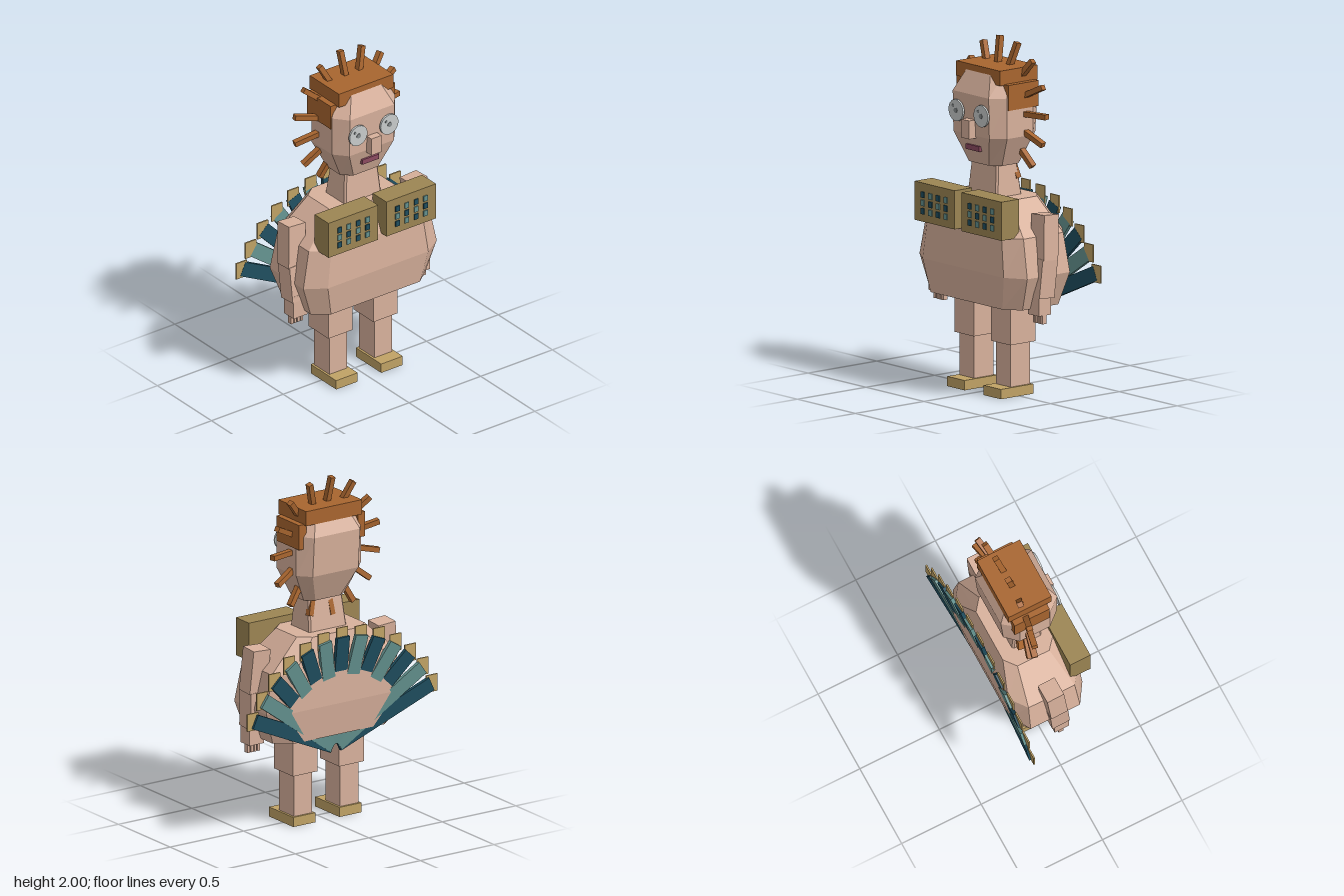
import * as THREE from 'three';

const mat = (name, color) => {
  const m = new THREE.MeshStandardMaterial({ color });
  m.name = name;
  return m;
};

export function createModel() {
  const skin = mat('skin', 0xd8b19c);
  const hair = mat('hair', 0xa8652f);
  const gold = mat('gold', 0xc0a265);
  const bronze = mat('bronze', 0x9c8553);
  const darkTeal = mat('darkTeal', 0x1f4e5f);
  const lightTeal = mat('lightTeal', 0x64928f);
  const silver = mat('silver', 0xc8cccb);
  const grey = mat('grey', 0x858a8c);
  const plum = mat('plum', 0x8c4a60);

  const model = new THREE.Group();
  const add = (name, geo, m) => {
    const mesh = new THREE.Mesh(geo, m);
    mesh.name = name;
    model.add(mesh);
    return mesh;
  };
  // Box given by its lower and upper limits on each axis
  const box = (name, m, x0, x1, y0, y1, z0, z1) => {
    const mesh = add(name, new THREE.BoxGeometry(x1 - x0, y1 - y0, z1 - z0), m);
    mesh.position.set((x0 + x1) / 2, (y0 + y1) / 2, (z0 + z1) / 2);
    return mesh;
  };
  // Box bar running from point a to point b
  const beam = (name, m, a, b, width, depth) => {
    const p = new THREE.Vector3(...a), q = new THREE.Vector3(...b);
    const y = q.clone().sub(p);
    const mesh = add(name, new THREE.BoxGeometry(width, y.length(), depth), m);
    y.normalize();
    const x = y.clone().cross(new THREE.Vector3(0, 0, 1)).normalize();
    const z = x.clone().cross(y);
    mesh.quaternion.setFromRotationMatrix(new THREE.Matrix4().makeBasis(x, y, z));
    mesh.position.copy(p.add(q).multiplyScalar(0.5));
    return mesh;
  };
  // Faceted solid through eight-sided rings: [y, halfWidth, cornerX, front, sideFront, sideBack, back]
  const loft = (name, m, rings) => {
    const loops = rings.map(([y, h, c, f, sf, sb, b]) =>
      [[c, y, f], [h, y, sf], [h, y, sb], [c, y, b], [-c, y, b], [-h, y, sb], [-h, y, sf], [-c, y, f]]);
    const pos = [];
    const tri = (...p) => p.forEach((v) => pos.push(...v));
    for (let r = 0; r < loops.length - 1; r++) {
      for (let i = 0; i < 8; i++) {
        const j = (i + 1) % 8, lo = loops[r], hi = loops[r + 1];
        tri(lo[i], lo[j], hi[j]);
        tri(lo[i], hi[j], hi[i]);
      }
    }
    const bottom = loops[0], top = loops[loops.length - 1];
    for (let i = 1; i < 7; i++) {
      tri(bottom[0], bottom[i + 1], bottom[i]);
      tri(top[0], top[i], top[i + 1]);
    }
    const geo = new THREE.BufferGeometry();
    geo.setAttribute('position', new THREE.Float32BufferAttribute(pos, 3));
    geo.computeVertexNormals();
    return add(name, geo, m);
  };

  // Torso, neck and head
  loft('torso', skin, [
    [0.53, 0.4, 0.31, 0.19, 0.12, -0.14, -0.21],
    [0.72, 0.465, 0.35, 0.215, 0.14, -0.17, -0.235],
    [0.94, 0.42, 0.32, 0.205, 0.13, -0.16, -0.235],
    [1.12, 0.23, 0.16, 0.13, 0.07, -0.13, -0.185],
  ]);
  loft('neck', skin, [
    [1.1, 0.13, 0.12, 0.08, 0.07, -0.1, -0.11],
    [1.34, 0.11, 0.1, 0.06, 0.05, -0.07, -0.08],
  ]);
  loft('head', skin, [
    [1.3, 0.14, 0.085, 0.1, 0.05, -0.07, -0.105],
    [1.47, 0.22, 0.155, 0.155, 0.08, -0.11, -0.18],
    [1.7, 0.22, 0.155, 0.16, 0.08, -0.11, -0.195],
    [1.83, 0.16, 0.1, 0.1, 0.05, -0.08, -0.13],
  ]);

  // Face
  box('nose', skin, -0.035, 0.035, 1.455, 1.56, 0.12, 0.2);
  box('mouth', plum, -0.058, 0.058, 1.38, 1.41, 0.1, 0.147);
  for (const s of [-1, 1]) {
    const disc = (name, r, depth, m, x, y, z) => {
      const d = add(name, new THREE.CylinderGeometry(r, r, depth, 20), m);
      d.rotation.x = Math.PI / 2;
      d.position.set(x, y, z);
    };
    disc('eye', 0.062, 0.012, silver, s * 0.108, 1.595, 0.172);
    disc('pupil', 0.014, 0.004, grey, s * 0.108, 1.595, 0.179);
    disc('eyeDot', 0.008, 0.004, grey, s * 0.108 - 0.025, 1.62, 0.179);
  }

  // Hair cap, side hair and radiating spikes
  box('hairCap', hair, -0.19, 0.19, 1.77, 1.855, -0.165, 0.105);
  for (const s of [-1, 1]) {
    const side = box('sideHair', hair, -0.025, 0.025, 1.63, 1.775, -0.145, 0.075);
    side.position.x = s * 0.2;
  }
  for (let i = 0; i < 15; i++) {
    const a = (i * Math.PI * 2) / 15;
    const c = Math.cos(a), s = Math.sin(a);
    beam('hairSpike', hair, [0.2 * c, 1.595 + 0.22 * s, -0.052],
      [0.365 * c, 1.595 + 0.405 * s, -0.087], 0.03, 0.034);
  }

  // Chest boxes with button grids
  for (const s of [-1, 1]) {
    const chest = box('chestBox', bronze, -0.173, 0.173, 0.94, 1.16, 0.125, 0.253);
    chest.position.x = s * 0.202;
    for (let i = 0; i < 4; i++) {
      for (let j = 0; j < 3; j++) {
        const x = s * 0.202 - 0.098 + i * 0.065, y = 1.0 + j * 0.047;
        box('button', (i + j) % 2 ? lightTeal : darkTeal,
          x - 0.014, x + 0.014, y - 0.017, y + 0.017, 0.25, 0.259);
      }
    }
  }

  // Arms, hands and fingers
  for (const s of [-1, 1]) {
    beam('upperArm', skin, [s * 0.425, 1.065, -0.022], [s * 0.44, 0.81, -0.005], 0.115, 0.105);
    beam('forearm', skin, [s * 0.44, 0.82, -0.005], [s * 0.43, 0.6, 0.012], 0.105, 0.11);
    box('hand', skin, s * 0.428 - 0.048, s * 0.428 + 0.048, 0.5, 0.64, -0.025, 0.065);
    for (let i = 0; i < 4; i++) {
      const x = s * 0.428 - 0.034 + i * 0.0227;
      box('finger', skin, x - 0.008, x + 0.008, 0.45, 0.51, 0.003, 0.033);
    }
  }

  // Legs and feet
  for (const s of [-1, 1]) {
    const x = s * 0.157;
    box('thigh', skin, x - 0.084, x + 0.084, 0.3, 0.58, -0.11, 0.075);
    box('shin', skin, x - 0.062, x + 0.062, 0.05, 0.31, -0.088, 0.055);
    box('foot', gold, x - 0.075, x + 0.075, 0, 0.056, -0.1, 0.135);
  }

  // Fan of tail feathers with square tips
  for (let i = 0; i < 13; i++) {
    const a = THREE.MathUtils.degToRad(24.6 + i * 10.9);
    const c = Math.cos(a), s = Math.sin(a);
    const dz = (i % 2) * 0.003;
    beam('tailFeather', i % 2 ? lightTeal : darkTeal, [0.02 * c, 0.45 + 0.02 * s, -0.172 - dz],
      [0.66 * c, 0.45 + 0.66 * s, -0.248 - dz], 0.085, 0.022);
    const x = 0.67 * c, y = 0.445 + 0.67 * s;
    box('featherTip', gold, x - 0.038, x + 0.038, y - 0.05, y + 0.05, -0.247, -0.238);
  }

  return model;
}
